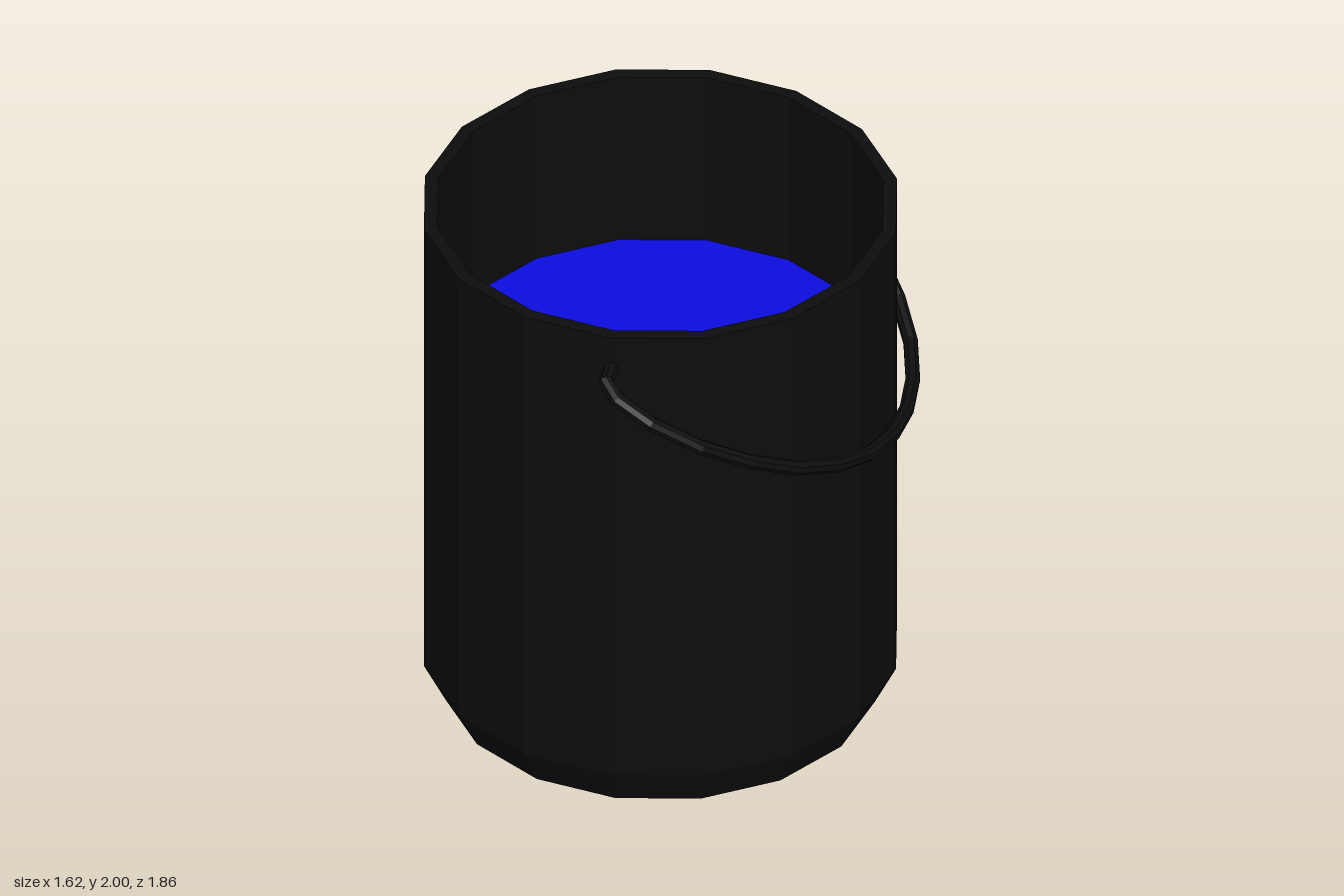
import * as THREE from 'three';

const SIDES = 16;
const AXIS_X = -0.03;

// Curve that steps exactly through its corner points, keeping straight tube segments
class Polyline extends THREE.Curve {
  constructor(points) {
    super();
    this.points = points;
  }
  getPoint(t, target = new THREE.Vector3()) {
    const s = t * (this.points.length - 1);
    const i = Math.min(Math.floor(s + 1e-6), this.points.length - 2);
    return target.lerpVectors(this.points[i], this.points[i + 1], s - i);
  }
  getPointAt(t, target) {
    return this.getPoint(t, target);
  }
  getTangentAt(t, target = new THREE.Vector3()) {
    const last = this.points.length - 1;
    const i = Math.round(t * last);
    const a = this.points[Math.max(i - 1, 0)];
    const b = this.points[Math.min(i + 1, last)];
    return target.subVectors(b, a).normalize();
  }
}

export function createModel() {
  const group = new THREE.Group();
  group.name = 'bucket';
  const dark = new THREE.MeshStandardMaterial({ color: 0x0d0d0d, flatShading: true });
  const blue = new THREE.MeshStandardMaterial({ color: 0x0d0de0, flatShading: true });

  const add = (name, geometry, material) => {
    const mesh = new THREE.Mesh(geometry, material);
    mesh.name = name;
    group.add(mesh);
    return mesh;
  };

  // Pail: outer wall with chamfered foot, rim, inner wall and floor
  const profile = [
    [0, 0], [0.5, 0], [0.71, 0.14], [0.78, 0.28], [0.78, 2],
    [0.735, 2], [0.735, 0.29], [0.67, 0.18], [0.48, 0.05], [0, 0.05],
  ].map(([r, y]) => new THREE.Vector2(r, y));
  add('pail', new THREE.LatheGeometry(profile, SIDES), dark).position.x = AXIS_X;

  // Water surface inside the pail
  const water = add('water', new THREE.CircleGeometry(0.737, SIDES), blue);
  water.rotation.x = -Math.PI / 2;
  water.position.set(AXIS_X, 1.36, 0);

  // Handle: half outline (x, z) mirrored in z, lying in a plane that slopes down to +x
  const half = [
    [-0.03, 0.75], [-0.03, 0.86], [0.015, 0.905], [0.125, 0.905], [0.28, 0.85],
    [0.42, 0.757], [0.55, 0.635], [0.655, 0.485], [0.73, 0.325], [0.772, 0.16],
  ];
  const outline = [...half, [0.785, 0], ...half.map(([x, z]) => [x, -z]).reverse()];
  const path = outline.map(([x, z]) => new THREE.Vector3(x, 1.88 - (x - AXIS_X) * 0.704, z));
  add('handle', new THREE.TubeGeometry(new Polyline(path), path.length - 1, 0.025, 8), dark);

  return group;
}
